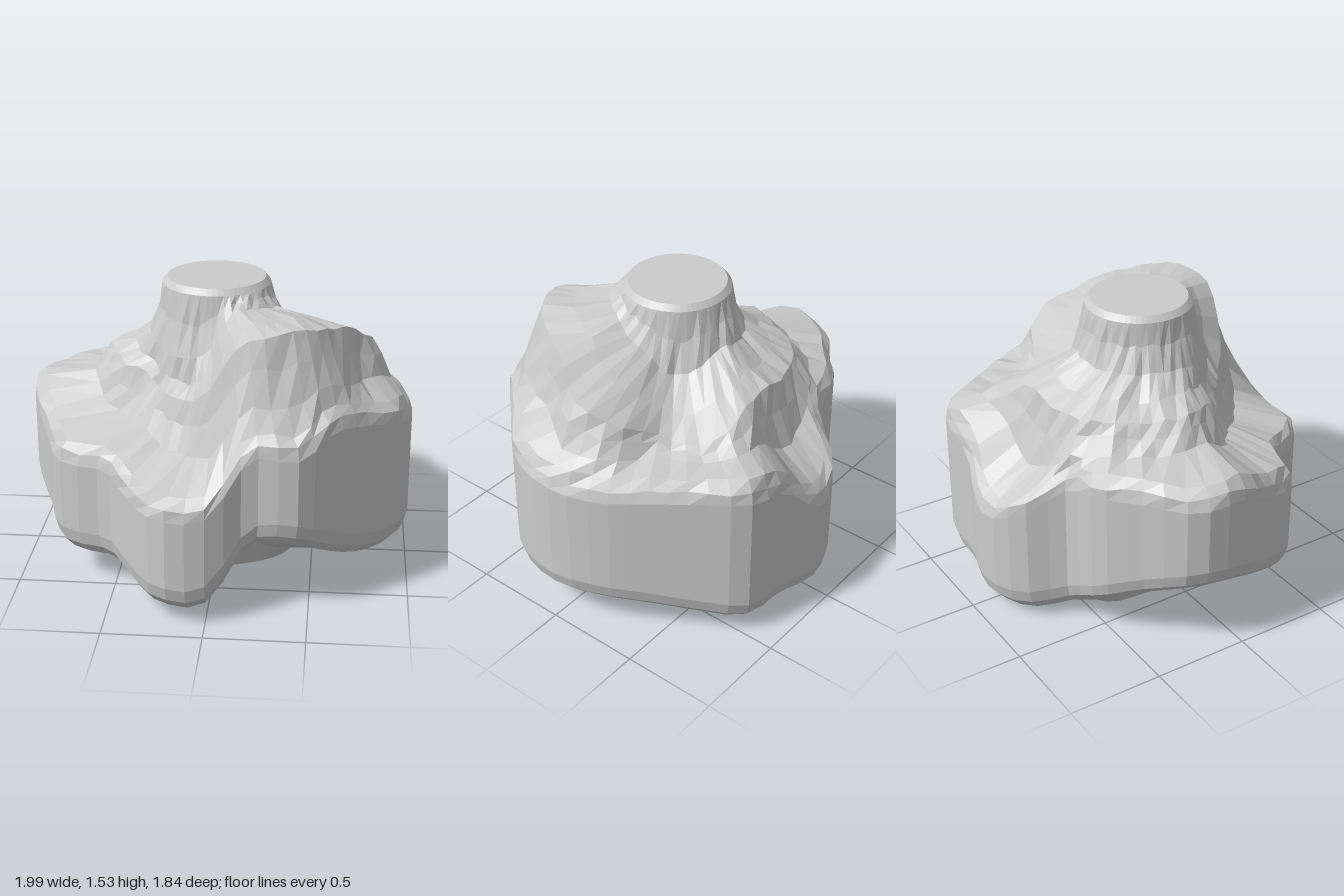
import * as THREE from 'three';

// One row per 15 degrees, from +x round towards +z:
// [wall radius, wall bottom y, wall top y, shoulder radius, shoulder y, base radius]
const SECTIONS = [
  [1.00, 0.17, 0.87, 0.78, 1.22, 0.40], [0.985, 0.18, 0.90, 0.69, 1.32, 0.38],
  [0.90, 0.20, 0.95, 0.68, 1.37, 0.35], [0.87, 0.28, 0.98, 0.69, 1.41, 0.32],
  [0.885, 0.38, 0.88, 0.66, 1.41, 0.30], [0.80, 0.36, 0.88, 0.60, 1.36, 0.30],
  [0.895, 0.10, 0.62, 0.54, 1.12, 0.32], [0.92, 0.09, 0.61, 0.46, 1.00, 0.45],
  [0.80, 0.11, 0.62, 0.42, 1.00, 0.45], [0.755, 0.16, 0.69, 0.40, 1.00, 0.42],
  [0.895, 0.17, 0.70, 0.42, 1.06, 0.42], [0.905, 0.23, 0.75, 0.50, 1.09, 0.42],
  [0.98, 0.34, 0.88, 0.55, 1.12, 0.42], [1.00, 0.37, 0.88, 0.58, 1.12, 0.44],
  [0.88, 0.29, 0.88, 0.58, 1.10, 0.48], [0.825, 0.20, 0.87, 0.58, 1.12, 0.55],
  [0.74, 0.09, 0.82, 0.58, 1.11, 0.56], [0.87, 0.04, 0.66, 0.58, 1.10, 0.60],
  [0.925, 0.04, 0.60, 0.57, 1.15, 0.65], [0.90, 0.05, 0.80, 0.60, 1.13, 0.62],
  [0.985, 0.08, 0.88, 0.68, 1.06, 0.64], [0.925, 0.11, 0.88, 0.66, 0.99, 0.58],
  [0.91, 0.14, 0.87, 0.60, 1.02, 0.52], [0.95, 0.16, 0.85, 0.74, 1.14, 0.45],
];
const SEGMENTS = 60;
const lerp = THREE.MathUtils.lerp;

// Smooth closed interpolation of one column of the sections
function sample(column, t) {
  const n = SECTIONS.length;
  const i = Math.floor(t * n);
  const f = t * n - i;
  const [a, b, c, d] = [-1, 0, 1, 2].map((k) => SECTIONS[(i + k + n) % n][column]);
  return b + 0.5 * f * (c - a + f * (2 * a - 5 * b + 4 * c - d + f * (3 * (b - c) + d - a)));
}

// Repeatable chipping offset between -1 and 1
function chip(i, j) {
  const s = Math.sin(i * 127.1 + j * 311.7) * 43758.5453;
  return (s - Math.floor(s)) * 2 - 1;
}

// Profile [radius, y] at one angle, from the underside centre to the top centre
function profile(t) {
  const [R, low, high, sr, sy, base] = [0, 1, 2, 3, 4, 5].map((k) => sample(k, t));
  const capY = high + 0.07;
  const footR = Math.min(sr + 0.1, R * 0.9);
  const points = [
    [0, 0], [base * 0.6, 0.005], [base, 0.02], [base + 0.07, lerp(0.02, low, 0.45)],
    [lerp(base + 0.07, R * 0.93, 0.6), lerp(0.02, low, 0.85)],
    [R * 0.93, low], [R * 0.98, low + 0.05],
  ];
  // Upright wall
  for (let k = 0; k <= 4; k++) points.push([R, lerp(low + 0.12, high - 0.04, k / 4)]);
  // Rounded rim, ledge, shoulder and top knob
  points.push(
    [R * 0.985, high + 0.02], [R * 0.94, capY],
    [footR, lerp(capY, sy, 0.25)], [lerp(footR, sr, 0.6), lerp(capY, sy, 0.65)],
    [sr, sy], [lerp(sr, 0.34, 0.5), lerp(sy, 1.5, 0.15)],
    [0.34, lerp(sy, 1.5, 0.37)], [0.295, lerp(sy, 1.5, 0.7)],
    [0.275, 1.5], [0.25, 1.53], [0, 1.53],
  );
  return points;
}

function rockGeometry() {
  const positions = [];
  const index = [];
  const rows = profile(0).length;
  for (let j = 0; j < SEGMENTS; j++) {
    const t = j / SEGMENTS;
    const angle = t * Math.PI * 2;
    profile(t).forEach(([r, y], i) => {
      // The knob sits slightly off centre; the ledges and slopes are chipped
      const shift = i > rows - 6 ? 0.015 : 0;
      const rough = i > 11 && i < rows - 3 ? 0.012 : 0;
      const radius = r + rough * chip(i, j);
      positions.push(
        radius * Math.cos(angle) - shift,
        y + rough * chip(i + 40, j),
        radius * Math.sin(angle) + shift,
      );
    });
  }
  for (let j = 0; j < SEGMENTS; j++) {
    for (let i = 0; i < rows - 1; i++) {
      const a = j * rows + i;
      const b = ((j + 1) % SEGMENTS) * rows + i;
      if (i > 0) index.push(a, a + 1, b);
      if (i < rows - 2) index.push(b, a + 1, b + 1);
    }
  }
  const geometry = new THREE.BufferGeometry();
  geometry.setAttribute('position', new THREE.Float32BufferAttribute(positions, 3));
  geometry.setIndex(index);
  geometry.computeVertexNormals();
  return geometry;
}

export function createModel() {
  const group = new THREE.Group();
  group.name = 'boulder';
  const material = new THREE.MeshStandardMaterial({ color: 0xcccccc, flatShading: true });
  const rock = new THREE.Mesh(rockGeometry(), material);
  rock.name = 'rock';
  group.add(rock);
  return group;
}
